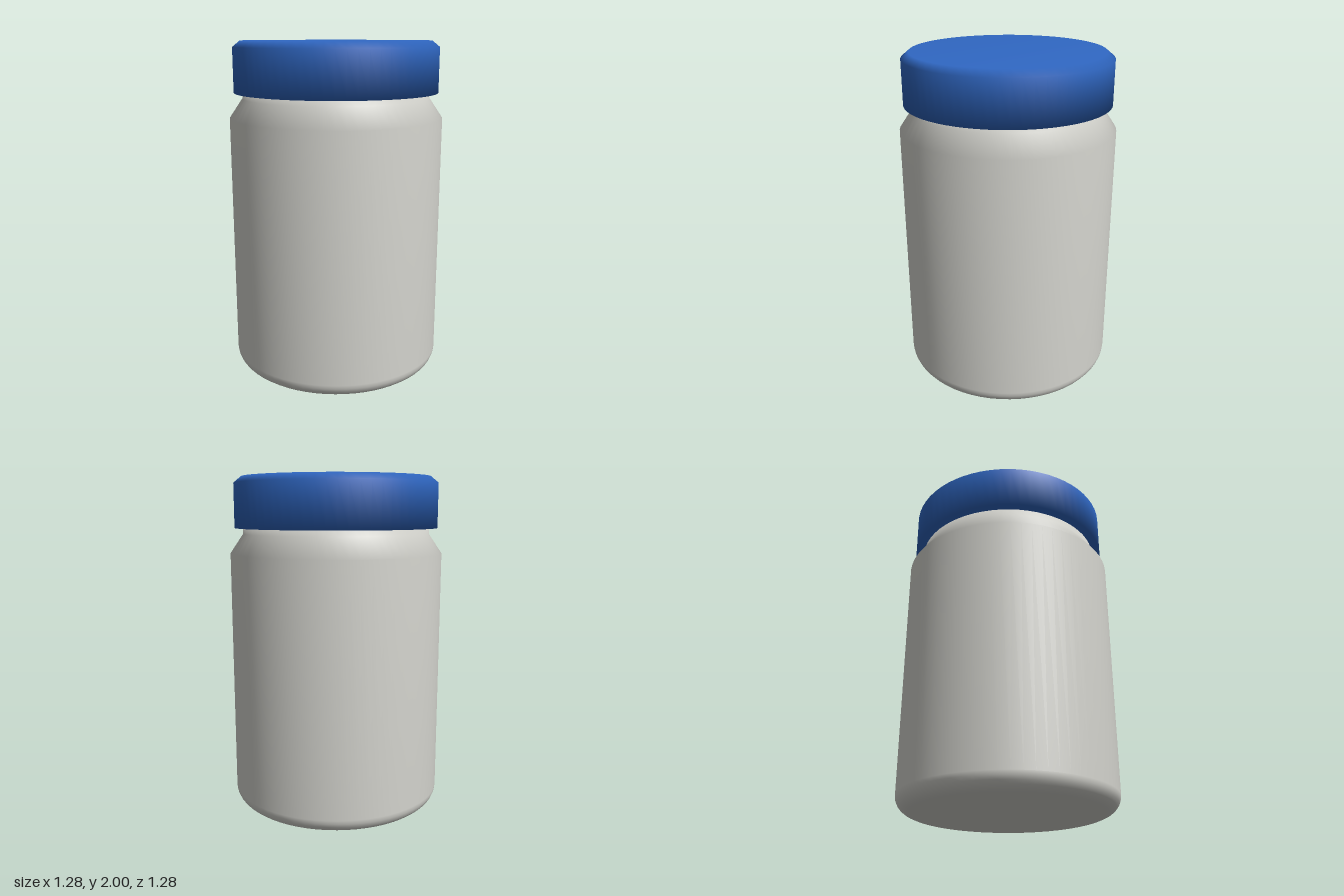
import * as THREE from 'three';

const SEGMENTS = 64;

// Smooth turned part from [radius, height] pairs, listed bottom to top
function turned(name, profile, material) {
  const points = profile.map(([r, y]) => new THREE.Vector2(r, y));
  const mesh = new THREE.Mesh(new THREE.LatheGeometry(points, SEGMENTS), material);
  mesh.name = name;
  return mesh;
}

export function createModel() {
  const jarGrey = new THREE.MeshStandardMaterial({ color: 0xd3d3cd });
  jarGrey.name = 'jar grey';
  const lidBlue = new THREE.MeshStandardMaterial({ color: 0x3068c4 });
  lidBlue.name = 'lid blue';

  // Rounded base edge
  const baseEdge = [];
  for (let i = 0; i <= 6; i++) {
    const a = (i / 6) * Math.PI / 2;
    baseEdge.push([0.55 + 0.09 * Math.sin(a), 0.09 - 0.09 * Math.cos(a)]);
  }

  const group = new THREE.Group();
  group.name = 'jar';
  group.add(
    // Base, straight wall, sloped shoulder and neck
    turned('body', [
      [0, 0], ...baseEdge,
      [0.64, 1.55], [0.562, 1.665], [0.562, 1.76], [0, 1.76],
    ], jarGrey),
    // Screw lid with a small bevel round the top
    turned('lid', [
      [0, 1.7], [0.612, 1.7], [0.612, 1.963], [0.567, 2], [0, 2],
    ], lidBlue),
  );
  return group;
}
